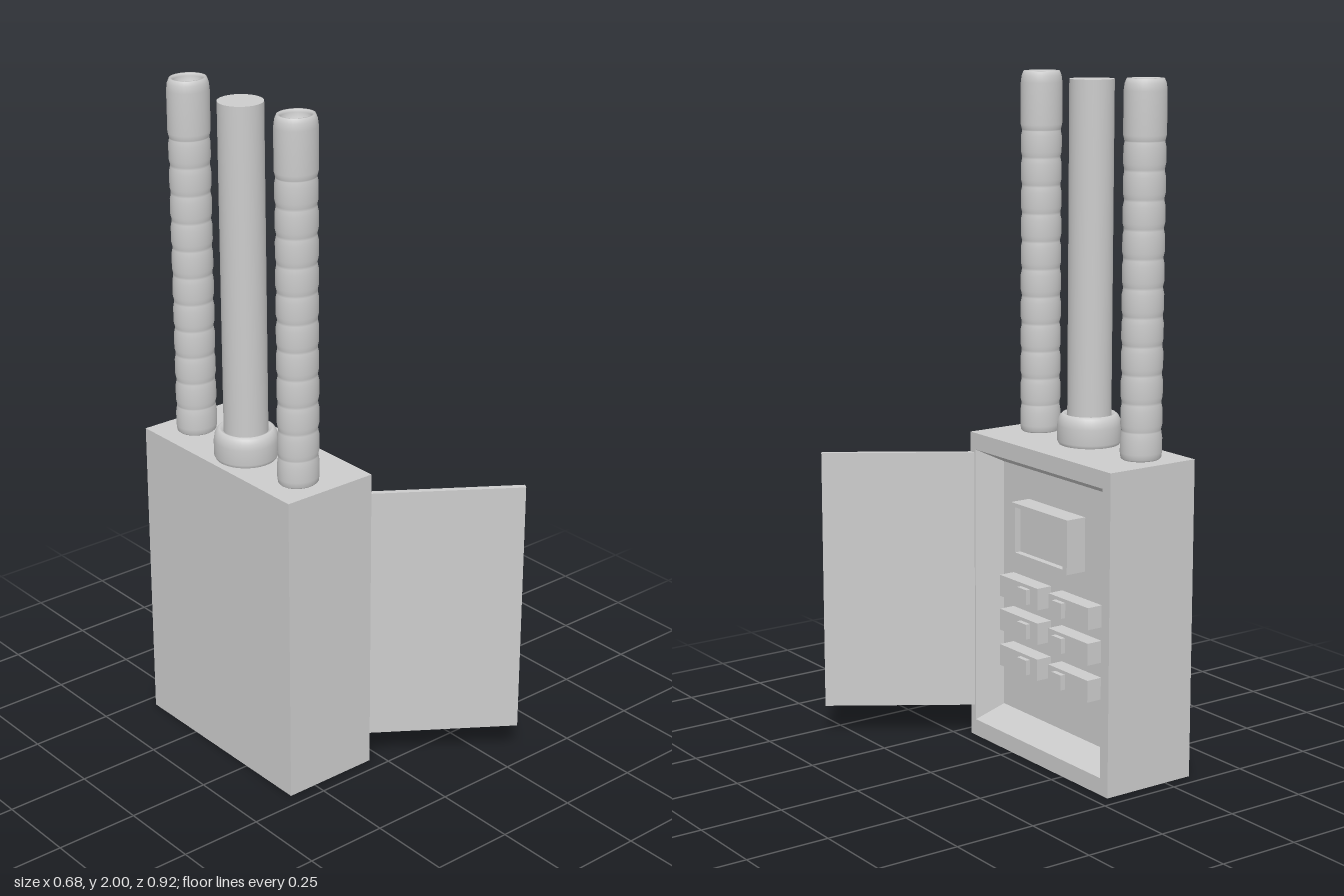
import * as THREE from 'three';

const mat = new THREE.MeshStandardMaterial({ color: 0xcccccc, side: THREE.DoubleSide });

function add(parent, name, geometry, x = 0, y = 0, z = 0) {
  const mesh = new THREE.Mesh(geometry, mat);
  mesh.name = name;
  mesh.position.set(x, y, z);
  parent.add(mesh);
  return mesh;
}

// Skins a series of rectangles [x, y0, y1, z0, z1] facing +x, capped at both ends.
function loftRects(rects) {
  const rings = rects.map(([x, y0, y1, z0, z1]) => [[x, y0, z1], [x, y0, z0], [x, y1, z0], [x, y1, z1]]);
  const pos = [];
  const quad = (a, b, c, d) => pos.push(...a, ...b, ...c, ...a, ...c, ...d);
  for (let r = 0; r < rings.length - 1; r++) {
    const a = rings[r], b = rings[r + 1];
    for (let i = 0; i < 4; i++) {
      const j = (i + 1) % 4;
      quad(a[i], a[j], b[j], b[i]);
    }
  }
  quad(...[...rings[0]].reverse());
  quad(...rings[rings.length - 1]);
  const g = new THREE.BufferGeometry();
  g.setAttribute('position', new THREE.Float32BufferAttribute(pos, 3));
  g.computeVertexNormals();
  return g;
}

const lathe = (pts, sides = 32) => new THREE.LatheGeometry(pts.map(p => new THREE.Vector2(...p)), sides);

// Ribbed hose with a plain sleeve at both ends and a hollow mouth.
function hoseGeometry() {
  const pts = [[0.05, 0], [0.054, 0.004], [0.056, 0.02], [0.056, 0.06], [0.053, 0.08]];
  const ribs = 10, start = 0.08, pitch = 0.081;
  for (let i = 0; i < ribs; i++) {
    const y = start + i * pitch;
    pts.push([0.0525, y + 0.004], [0.0555, y + 0.018], [0.0555, y + pitch - 0.018], [0.0525, y + pitch - 0.003]);
  }
  pts.push([0.053, 0.89], [0.0565, 0.905], [0.0565, 1.025], [0.054, 1.045], [0.049, 1.058],
    [0.044, 1.058], [0.04, 1.05], [0.039, 1.02], [0, 1.02]);
  return lathe(pts);
}

export function createModel() {
  const model = new THREE.Group();
  model.name = 'electricalPanel';
  const top = 0.94, floorX = -0.12;

  // Cabinet with a tapered recess in its +x side
  add(model, 'cabinet', loftRects([
    [-0.34, 0, top, -0.46, 0.21],
    [-0.04, 0, top, -0.46, 0.21],
    [-0.04, 0.05, 0.89, -0.425, 0.185],
    [floorX, 0.095, 0.85, -0.395, 0.15],
  ]));

  // Open door, hinged on the front edge of the opening
  const outline = new THREE.Shape([[-0.04, -0.21], [0.325, -0.46], [0.335, -0.445], [-0.04, -0.19]]
    .map(p => new THREE.Vector2(...p)));
  const door = new THREE.ExtrudeGeometry(outline, { depth: 0.785, bevelEnabled: false });
  door.rotateX(-Math.PI / 2);
  add(model, 'door', door, 0, 0.095, 0);

  // Meter with a sunken display
  add(model, 'meter', loftRects([
    [floorX - 0.005, 0.6, 0.76, -0.245, 0.025],
    [floorX + 0.065, 0.6, 0.76, -0.245, 0.025],
    [floorX + 0.065, 0.612, 0.748, -0.225, 0.005],
    [floorX + 0.045, 0.612, 0.748, -0.225, 0.005],
  ]));

  // Two columns of breakers with small switches
  for (const y of [0.487, 0.382, 0.272]) {
    for (const [z, switchZ] of [[0.008, -0.027], [-0.232, -0.197]]) {
      add(model, 'breaker', new THREE.BoxGeometry(0.055, 0.065, 0.187), floorX + 0.0225, y, z);
      add(model, 'breakerSwitch', new THREE.BoxGeometry(0.02, 0.045, 0.045), floorX + 0.055, y, switchZ);
    }
  }

  // Ribbed hoses either side, slightly oval
  const hose = hoseGeometry();
  for (const z of [-0.362, 0.112]) add(model, 'ribbedHose', hose, -0.225, top, z).scale.set(1.1, 1, 1);

  // Central conduit and its rounded collar
  add(model, 'conduit', new THREE.CylinderGeometry(0.064, 0.064, 1.045, 32), -0.231, top + 0.5225, -0.117);
  add(model, 'conduitCollar', lathe([[0.088, 0], [0.093, 0.01], [0.093, 0.055], [0.09, 0.072],
    [0.084, 0.084], [0.077, 0.09], [0.07, 0.088], [0.063, 0.08]]), -0.231, top, -0.117);

  return model;
}
